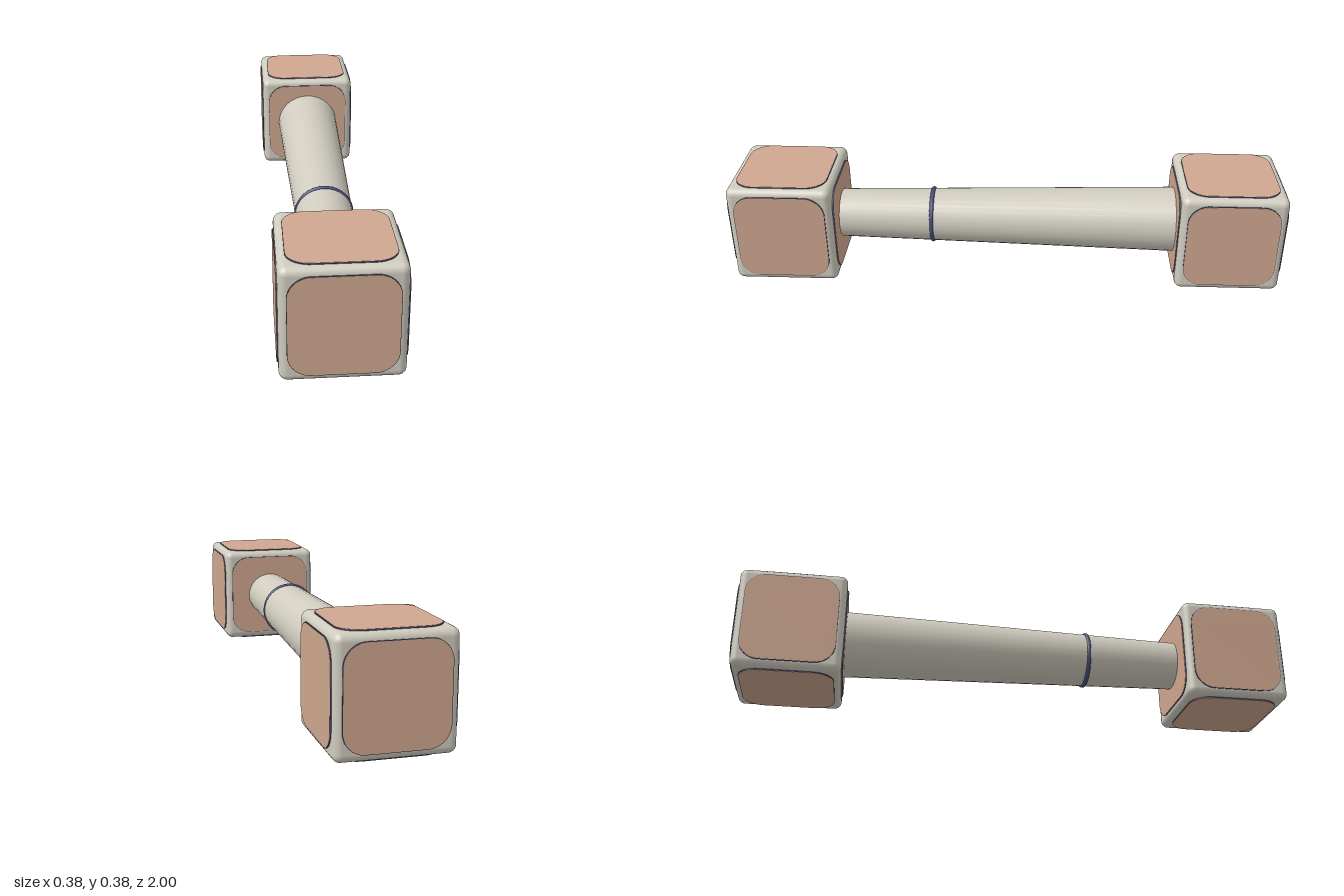
import * as THREE from 'three';
import { RoundedBoxGeometry } from 'three/addons/geometries/RoundedBoxGeometry.js';

const CENTER_Y = 0.192;
const HALF = 0.188; // half the cube body, without its panels

function material(name, color) {
  const m = new THREE.MeshStandardMaterial({ color });
  m.name = name;
  return m;
}

// Thin square plate with rounded corners, rising along +z from z = 0
function plateGeometry(size, radius, depth) {
  const h = size / 2, k = h - radius;
  const s = new THREE.Shape();
  s.absarc(k, k, radius, 0, Math.PI / 2);
  s.absarc(-k, k, radius, Math.PI / 2, Math.PI);
  s.absarc(-k, -k, radius, Math.PI, Math.PI * 1.5);
  s.absarc(k, -k, radius, Math.PI * 1.5, Math.PI * 2);
  return new THREE.ExtrudeGeometry(s, { depth, bevelEnabled: false, curveSegments: 10 });
}

export function createModel() {
  const bone = material('bone', 0xd0ccbf);
  const tan = material('tan', 0xcfa78f);
  const navy = material('navy', 0x4a4e78);

  const model = new THREE.Group();
  model.name = 'dumbbell';
  const add = (parent, name, geometry, mat) => {
    const mesh = new THREE.Mesh(geometry, mat);
    mesh.name = name;
    parent.add(mesh);
    return mesh;
  };

  // Cube ends with an outlined panel on all six sides
  const body = new RoundedBoxGeometry(HALF * 2, HALF * 2, HALF * 2, 4, 0.026);
  const trim = plateGeometry(0.328, 0.071, 0.005);
  const panel = plateGeometry(0.3245, 0.069, 0.006);
  const sides = [
    [0, 0], [0, Math.PI / 2], [0, Math.PI], [0, -Math.PI / 2],
    [Math.PI / 2, 0], [-Math.PI / 2, 0],
  ];
  for (const [name, z] of [['frontCube', 0.808], ['backCube', -0.808]]) {
    const cube = new THREE.Group();
    cube.name = name;
    cube.position.set(0, CENTER_Y, z);
    add(cube, 'cubeBody', body, bone);
    for (const [rx, ry] of sides) {
      const side = new THREE.Group();
      side.name = 'cubeSide';
      side.rotation.set(rx, ry, 0);
      add(side, 'panelTrim', trim, navy).position.z = HALF - 0.002;
      add(side, 'panel', panel, tan).position.z = HALF - 0.002;
      cube.add(side);
    }
    model.add(cube);
  }

  // Tapered handle, thicker towards the back
  const bar = new THREE.CylinderGeometry(0.091, 0.123, 1.27, 32);
  bar.rotateX(Math.PI / 2);
  bar.scale(1, 0.97, 1);
  add(model, 'handle', bar, bone).position.y = CENTER_Y;

  // Ring round the handle
  add(model, 'handleRing', new THREE.TorusGeometry(0.096, 0.008, 10, 40), navy)
    .position.set(0, CENTER_Y, 0.275);

  return model;
}
